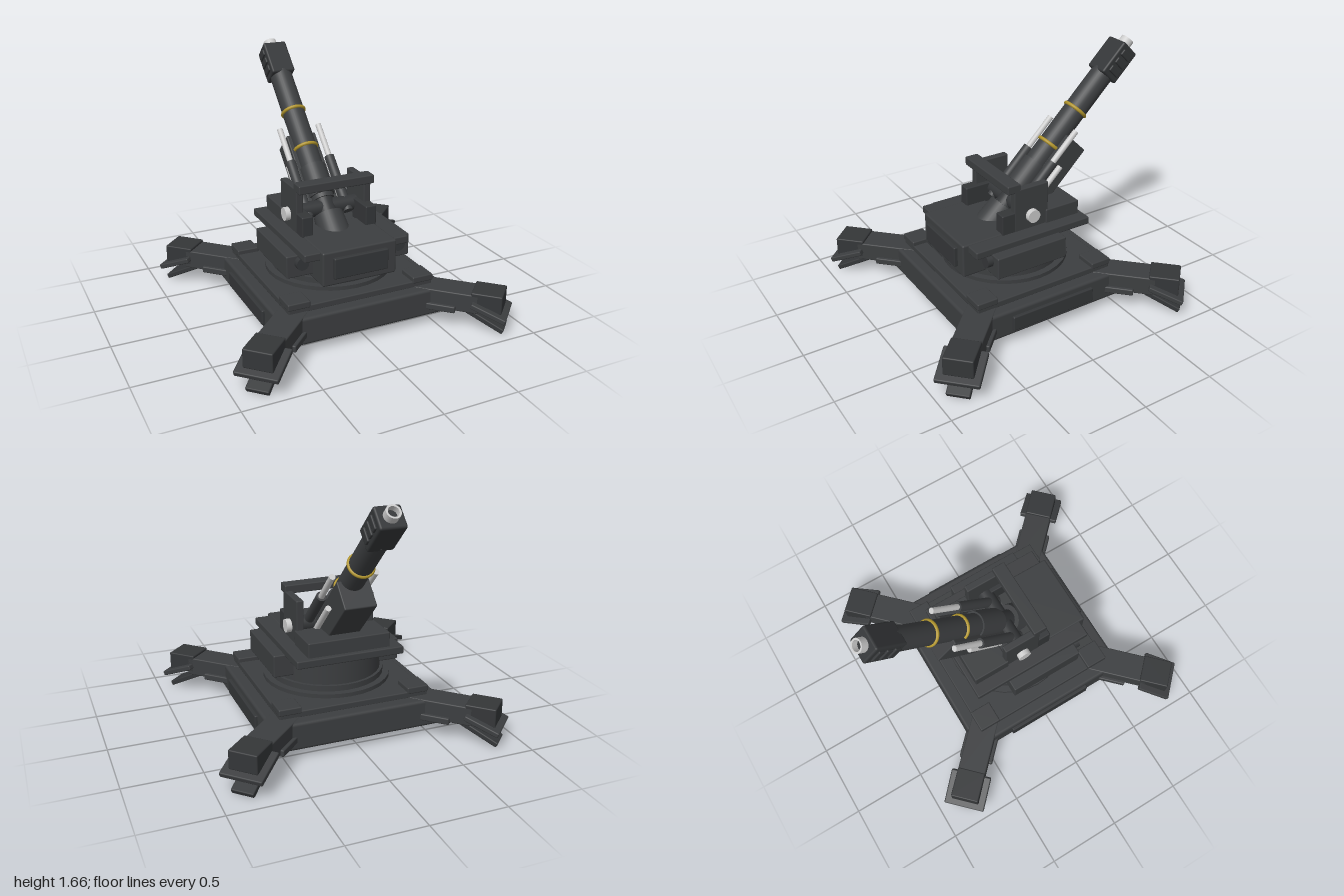
import * as THREE from 'three';
import { RoundedBoxGeometry } from 'three/addons/geometries/RoundedBoxGeometry.js';

const mat = (color) => new THREE.MeshStandardMaterial({ color });
const dark = mat(0x3c3e40);
const darker = mat(0x343638);
const gold = mat(0xb0942c);
const light = mat(0xcccccc);

function add(parent, name, geometry, material, x = 0, y = 0, z = 0) {
  const mesh = new THREE.Mesh(geometry, material);
  mesh.name = name;
  mesh.position.set(x, y, z);
  parent.add(mesh);
  return mesh;
}

// Softly bevelled box given by its min and max corners
function box(parent, name, [x0, y0, z0], [x1, y1, z1], material = dark, r = 0.008) {
  const g = new RoundedBoxGeometry(x1 - x0, y1 - y0, z1 - z0, 2, r);
  return add(parent, name, g, material, (x0 + x1) / 2, (y0 + y1) / 2, (z0 + z1) / 2);
}

// Upright cylinder between two heights
function rod(parent, name, r, y0, y1, material = dark, x = 0, z = 0, r2 = r) {
  return add(parent, name, new THREE.CylinderGeometry(r2, r, y1 - y0, 32), material, x, (y0 + y1) / 2, z);
}

function buildBase() {
  const base = new THREE.Group();
  base.name = 'base';
  base.position.z = 0.02;
  box(base, 'baseSlab', [-0.59, 0.07, -0.59], [0.59, 0.255, 0.59], dark, 0.02);
  box(base, 'basePlate', [-0.51, 0.25, -0.51], [0.51, 0.295, 0.51]);
  for (const s of [-1, 1]) {
    box(base, 'sidePanel', [s * 0.595 - 0.015, 0.107, -0.31], [s * 0.595 + 0.015, 0.21, 0.31], darker);
    for (const t of [-1, 1]) {
      box(base, 'cornerPad', [s * 0.44 - 0.075, 0.28, t * 0.44 - 0.075], [s * 0.44 + 0.075, 0.325, t * 0.44 + 0.075]);
    }
  }

  // Four diagonal outriggers, each built along +z
  for (let i = 0; i < 4; i++) {
    const leg = new THREE.Group();
    leg.name = 'outrigger';
    leg.rotation.y = Math.PI / 4 + (i * Math.PI) / 2;
    box(leg, 'arm', [-0.095, 0.13, 0.6], [0.095, 0.258, 1.05]);
    for (const s of [-1, 1]) {
      box(leg, 'armBracket', [s * 0.095 - 0.022, 0.12, 0.62], [s * 0.095 + 0.022, 0.165, 0.905]);
    }
    box(leg, 'footBlock', [-0.095, 0.15, 1.0], [0.095, 0.275, 1.2], darker);
    box(leg, 'footPlate', [-0.14, 0.143, 1.0], [0.14, 0.178, 1.24]).rotation.x = 0.35;
    box(leg, 'spade', [-0.075, 0.068, 0.92], [0.075, 0.103, 1.23], darker).rotation.x = 0.45;
    base.add(leg);
  }
  return base;
}

function buildTurret() {
  const turret = new THREE.Group();
  turret.name = 'turret';
  rod(turret, 'lowerRing', 0.43, 0.28, 0.322, dark, 0, 0.02);
  rod(turret, 'upperRing', 0.385, 0.32, 0.36, dark, 0, 0.02);
  rod(turret, 'turntable', 0.365, 0.35, 0.55, dark, 0, 0.02);
  box(turret, 'deck', [-0.365, 0.54, -0.42], [0.365, 0.592, 0.45]);
  box(turret, 'frontHousing', [-0.26, 0.37, 0.05], [0.26, 0.6, 0.49], dark, 0.012);
  box(turret, 'frontPanel', [-0.19, 0.42, 0.48], [0.19, 0.56, 0.515], darker);
  box(turret, 'rearBlock', [-0.28, 0.58, -0.39], [0.28, 0.69, -0.13]);
  box(turret, 'crossbar', [-0.27, 0.87, 0.065], [0.27, 0.93, 0.16]);
  for (const s of [-1, 1]) {
    const side = new THREE.Group();
    side.name = s > 0 ? 'leftSide' : 'rightSide';
    const sideBox = (name, xa, xb, y0, y1, z0, z1, m) =>
      box(side, name, [Math.min(s * xa, s * xb), y0, z0], [Math.max(s * xa, s * xb), y1, z1], m);
    sideBox('sideBox', 0.25, 0.44, 0.4, 0.55, -0.18, 0.34);
    sideBox('cheek', 0.22, 0.27, 0.58, 0.89, -0.15, 0.11);
    sideBox('lowerCheek', 0.19, 0.268, 0.58, 0.73, 0.0, 0.2, darker);
    rod(side, 'frontPort', 0.042, 0.47, 0.53, darker, s * 0.345, 0.35).rotation.x = Math.PI / 2;
    const pin = rod(side, 'trunnionCap', 0.045, 0.64, 0.73, light, s * 0.26, -0.02);
    pin.rotation.z = Math.PI / 2;
    turret.add(side);
  }
  return turret;
}

// Gun built upright along +y, then tilted back 45 degrees about the trunnion
function buildGun() {
  const gun = new THREE.Group();
  gun.name = 'gun';
  gun.position.set(0, 0.685, -0.02);
  gun.rotation.x = -Math.PI / 4;
  rod(gun, 'barrel', 0.078, 0.05, 1.06);
  rod(gun, 'barrelSleeve', 0.09, 0.08, 0.3);
  rod(gun, 'barrelNeck', 0.066, -0.12, 0.1, darker);
  rod(gun, 'breech', 0.11, -0.24, -0.06, dark, 0, 0, 0.1);
  rod(gun, 'trunnion', 0.055, -0.23, 0.23, darker).rotation.z = Math.PI / 2;
  box(gun, 'cradle', [-0.108, 0.02, -0.197], [0.108, 0.565, 0]);

  for (const y of [0.45, 0.742]) {
    add(gun, 'barrelBand', new THREE.TorusGeometry(0.078, 0.012, 12, 40), gold, 0, y, 0).rotation.x = Math.PI / 2;
  }

  // Muzzle brake with side vents and a hollow tip
  box(gun, 'muzzleBrake', [-0.085, 1.035, -0.077], [0.085, 1.285, 0.077], darker, 0.014);
  for (const s of [-1, 1]) {
    for (const y of [1.095, 1.16, 1.225]) {
      box(gun, 'vent', [s * 0.085 - 0.012, y - 0.023, -0.048], [s * 0.085 + 0.012, y + 0.023, 0.048], darker);
    }
    // Recoil cylinders and their rods
    rod(gun, 'recoilCylinder', 0.034, -0.06, 0.36, dark, s * 0.145, 0.01);
    rod(gun, 'recoilRod', 0.02, 0.34, 0.615, light, s * 0.145, 0.01);
    rod(gun, 'lowerRod', 0.02, 0.05, 0.37, light, s * 0.128, -0.083);
  }
  const tip = [[0.046, 1.27], [0.046, 1.335], [0.034, 1.335], [0.034, 1.29]]
    .map(([r, y]) => new THREE.Vector2(r, y));
  for (let i = 0; i < 3; i++) {
    const part = new THREE.LatheGeometry(tip.slice(i, i + 2), 32);
    const m = light.clone();
    m.side = THREE.DoubleSide;
    add(gun, 'muzzleTip', part, m);
  }
  rod(gun, 'bore', 0.034, 1.28, 1.295, darker);
  return gun;
}

export function createModel() {
  const model = new THREE.Group();
  model.name = 'fieldGun';
  model.add(buildBase(), buildTurret(), buildGun());
  return model;
}
